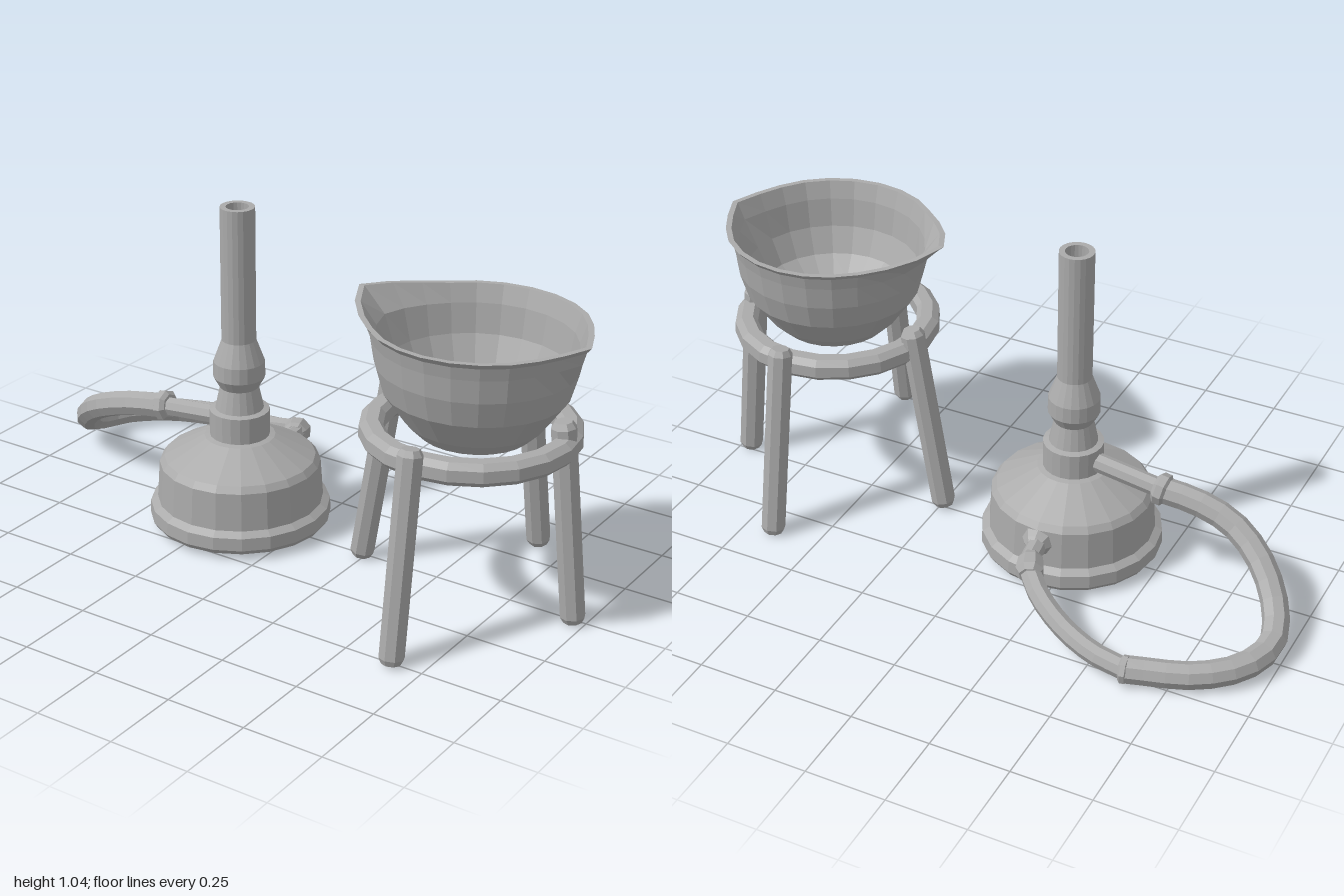
import * as THREE from 'three';

const grey = new THREE.MeshStandardMaterial({ color: 0xaaaaaa });
grey.name = 'plain grey';

// Mesh with faceted normals
function part(name, geometry) {
  const g = geometry.index ? geometry.toNonIndexed() : geometry;
  g.computeVertexNormals();
  const mesh = new THREE.Mesh(g, grey);
  mesh.name = name;
  return mesh;
}

const lathe = (profile, sides) =>
  new THREE.LatheGeometry(profile.map(([r, y]) => new THREE.Vector2(r, y)), sides);

// Capped, bevelled rod running from a to b
function rod(name, a, b, ra, rb = ra, sides = 8) {
  const from = new THREE.Vector3(...a), dir = new THREE.Vector3(...b).sub(from);
  const h = dir.length(), bevel = Math.min(0.018, h / 4);
  const mesh = part(name, lathe([
    [0, 0], [ra * 0.75, 0], [ra, bevel], [rb, h - bevel], [rb * 0.7, h], [0, h],
  ], sides));
  mesh.position.copy(from);
  mesh.quaternion.setFromUnitVectors(new THREE.Vector3(0, 1, 0), dir.normalize());
  return mesh;
}

function hose(name, points, radius) {
  const curve = new THREE.CatmullRomCurve3(points.map(p => new THREE.Vector3(...p)));
  return part(name, new THREE.TubeGeometry(curve, points.length * 2, radius, 8));
}

function createBurner() {
  const burner = new THREE.Group();
  burner.name = 'burner';

  // Hollow base, collar, bulb and chimney in one turned profile
  const body = part('burnerBody', lathe([
    [0, 0.27], [0.1, 0.26], [0.225, 0.2], [0.235, 0.09], [0.25, 0.02],
    [0.272, 0.02], [0.282, 0.035], [0.28, 0.075], [0.258, 0.09],
    [0.25, 0.21], [0.235, 0.23], [0.11, 0.298], [0.093, 0.302],
    [0.093, 0.385], [0.075, 0.39], [0.06, 0.46], [0.08, 0.495],
    [0.079, 0.545], [0.053, 0.615], [0.053, 1.04], [0.035, 1.04],
    [0.035, 0.7], [0, 0.7],
  ], 20));
  body.position.set(-0.205, 0, 0.018);
  burner.add(body);

  // Upper gas inlet with its collar
  burner.add(rod('gasInlet', [-0.25, 0.34, 0.01], [-0.52, 0.308, 0], 0.03));
  burner.add(rod('inletCollar', [-0.485, 0.314, 0], [-0.53, 0.306, 0], 0.05));

  // Looped hose: thick half from the inlet, thinner half back to the base
  burner.add(hose('hoseThick', [
    [-0.51, 0.308, 0], [-0.62, 0.293, 0.008], [-0.74, 0.255, 0],
    [-0.85, 0.19, -0.05], [-0.93, 0.11, -0.13], [-0.965, 0.062, -0.23],
    [-0.93, 0.05, -0.35], [-0.82, 0.046, -0.45], [-0.62, 0.046, -0.518],
  ], 0.041));
  burner.add(hose('hoseThin', [
    [-0.63, 0.046, -0.517], [-0.52, 0.058, -0.505], [-0.4, 0.085, -0.465],
    [-0.3, 0.125, -0.41], [-0.23, 0.16, -0.34],
  ], 0.033));
  burner.add(rod('hoseJoint', [-0.61, 0.046, -0.52], [-0.64, 0.046, -0.515], 0.043));

  // Stepped nozzle at the back of the base
  burner.add(rod('nozzle', [-0.205, 0.165, -0.2], [-0.225, 0.163, -0.34], 0.03));
  burner.add(rod('nozzleFlange', [-0.205, 0.165, -0.215], [-0.208, 0.165, -0.26], 0.05, 0.035));
  burner.add(rod('nozzleNut', [-0.22, 0.164, -0.3], [-0.25, 0.152, -0.375], 0.04, 0.045));
  return burner;
}

function createTripod() {
  const tripod = new THREE.Group();
  tripod.name = 'tripodStand';

  // Support ring with a squarish section
  const ring = part('supportRing', lathe([
    [0.25, 0.535], [0.265, 0.52], [0.305, 0.52], [0.322, 0.538], [0.32, 0.572],
    [0.3, 0.588], [0.265, 0.588], [0.25, 0.572], [0.25, 0.535],
  ], 20));
  ring.position.set(0.64, 0, 0.07);
  tripod.add(ring);

  // Splayed legs: name, foot x and z, top x and z
  for (const [name, fx, fz, tx, tz] of [
    ['frontLeg', 0.655, 0.508, 0.645, 0.41],
    ['backLeg', 0.65, -0.36, 0.645, -0.26],
    ['rightLeg', 0.24, 0.01, 0.345, 0.015],
    ['leftLeg', 0.965, 0.015, 0.905, 0.02],
  ]) tripod.add(rod(name, [fx, 0.006, fz], [tx, 0.627, tz], 0.038));
  return tripod;
}

function createBowl() {
  const g = lathe([
    [0, 0.545], [0.16, 0.55], [0.2, 0.59], [0.262, 0.68], [0.284, 0.76],
    [0.291, 0.83], [0.298, 0.868], [0.312, 0.885], [0.295, 0.885],
    [0.277, 0.83], [0.262, 0.74], [0.225, 0.66], [0.16, 0.61], [0, 0.595],
  ], 24);

  // Draw the rim out into a raised spout on one side and a small one opposite
  const p = g.attributes.position;
  for (let i = 0; i < p.count; i++) {
    const x = p.getX(i), y = p.getY(i), z = p.getZ(i);
    const r = Math.hypot(x, z), angle = Math.atan2(z, x);
    const high = THREE.MathUtils.smoothstep(y, 0.8, 0.885);
    const wide = high * Math.max(0, 1 - (Math.PI - Math.abs(angle)) / 0.75) ** 1.3;
    const small = THREE.MathUtils.smoothstep(y, 0.76, 0.85) * Math.max(0, 1 - Math.abs(angle) / 0.35);
    const s = r > 0 ? (r + 0.07 * wide + 0.03 * small) / r : 1;
    p.setXYZ(i, x * s * 1.03, y + 0.025 * wide, z * s);
  }
  const bowl = part('bowl', g);
  bowl.position.set(0.65, 0, 0.067);
  return bowl;
}

export function createModel() {
  const model = new THREE.Group();
  model.name = 'burnerAndBowlOnTripod';
  model.add(createBurner(), createTripod(), createBowl());
  return model;
}
